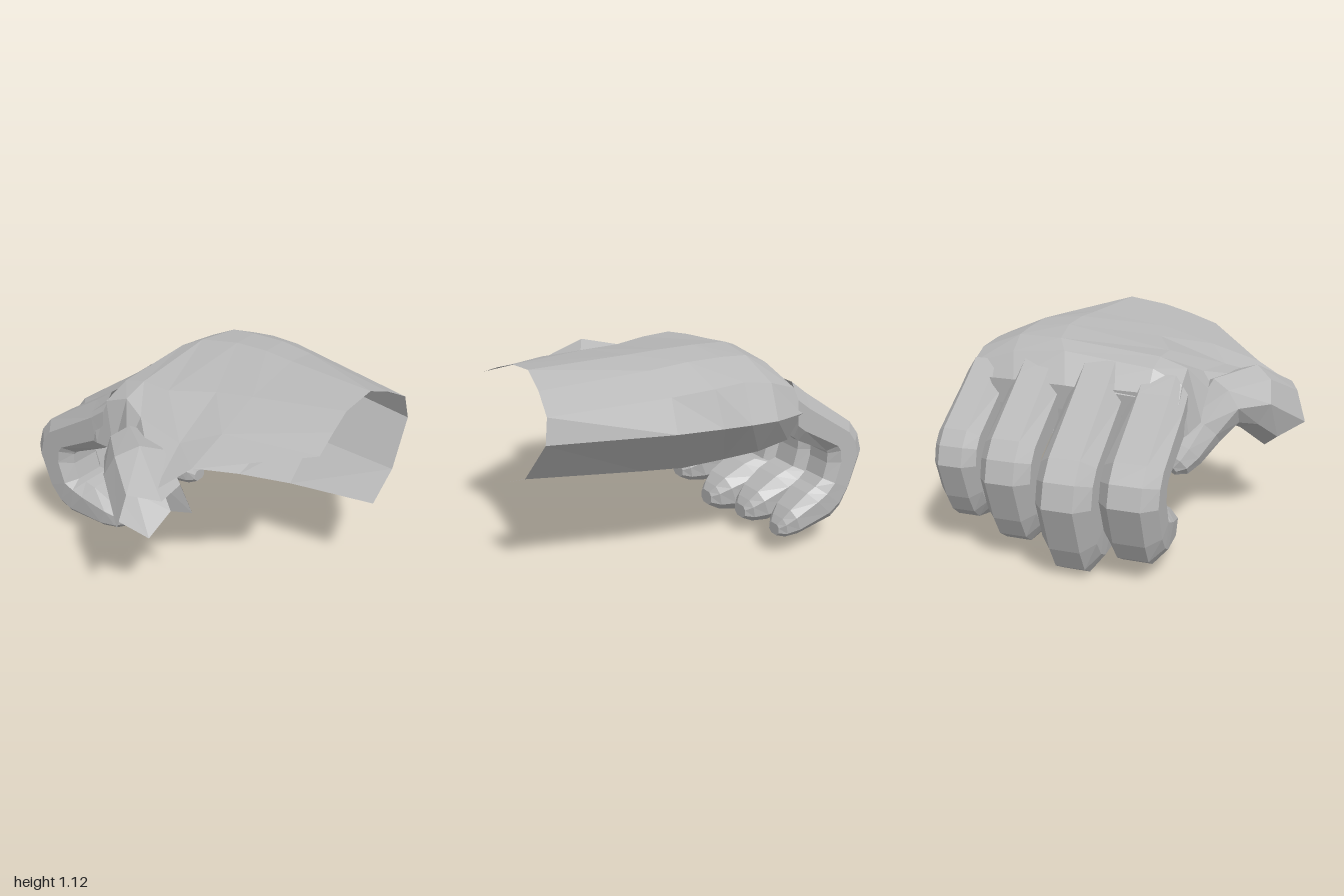
import * as THREE from 'three';

const skin = new THREE.MeshStandardMaterial({ color: 0xb8b8b8, flatShading: true, side: THREE.DoubleSide });
skin.name = 'plain grey';

// Flat-shaded surface through rows of points; rows may be closed loops, the last row may be capped
function loft(name, rows, closed, capped) {
  const pos = [];
  const tri = (a, b, c) => pos.push(...a, ...b, ...c);
  const n = rows[0].length;
  const steps = closed ? n : n - 1;
  for (let i = 0; i < rows.length - 1; i++) {
    for (let j = 0; j < steps; j++) {
      const k = (j + 1) % n;
      tri(rows[i][j], rows[i][k], rows[i + 1][k]);
      tri(rows[i][j], rows[i + 1][k], rows[i + 1][j]);
    }
  }
  if (capped) {
    const last = rows[rows.length - 1];
    const mid = [0, 1, 2].map(a => last.reduce((s, p) => s + p[a], 0) / n);
    for (let j = 0; j < n; j++) tri(last[j], last[(j + 1) % n], mid);
  }
  const geo = new THREE.BufferGeometry();
  geo.setAttribute('position', new THREE.Float32BufferAttribute(pos, 3));
  geo.computeVertexNormals();
  const mesh = new THREE.Mesh(geo, skin);
  mesh.name = name;
  return mesh;
}

// Cross-sections from the thumb side over the back, round the outer edge and under the palm
const sleeveRows = [
  [[0.91, 0.96, 0.22], [0.89, 1.02, 0.06], [0.87, 1.07, -0.1], [0.88, 1.1, -0.33], [0.9, 1.04, -0.5], [0.93, 0.96, -0.66], [0.95, 0.83, -0.68], [0.98, 0.6, -0.48], [1.0, 0.5, -0.24]],
  [[0.41, 0.89, 0.6], [0.4, 0.97, 0.33], [0.38, 1.06, 0.03], [0.36, 1.12, -0.38], [0.35, 1.09, -0.6], [0.34, 1.0, -0.79], [0.34, 0.83, -0.85], [0.4, 0.57, -0.6], [0.5, 0.47, -0.2]],
  [[0.32, 0.82, 0.78], [0.22, 0.91, 0.45], [0.18, 1.05, 0.08], [0.18, 1.13, -0.4], [0.15, 1.11, -0.62], [0.12, 1.02, -0.83], [0.1, 0.83, -0.89], [0.18, 0.56, -0.64], [0.22, 0.48, -0.1]],
];
const knuckleRows = [
  [[-0.1, 0.8, 0.5], [-0.08, 0.95, 0.4], [-0.05, 1.04, 0.2], [-0.02, 1.13, -0.4], [-0.05, 1.11, -0.62], [-0.05, 1.03, -0.83], [-0.05, 0.83, -0.91], [-0.05, 0.57, -0.66], [-0.05, 0.55, 0.15]],
  [[-0.25, 0.72, 0.44], [-0.22, 1.0, 0.35], [-0.22, 1.05, 0.2], [-0.24, 1.11, -0.36], [-0.2, 1.1, -0.62], [-0.2, 1.01, -0.85], [-0.2, 0.83, -0.92], [-0.2, 0.62, -0.76], [-0.25, 0.6, 0.25]],
  [[-0.4, 0.7, 0.41], [-0.36, 0.95, 0.36], [-0.35, 1.02, 0.2], [-0.34, 1.07, -0.3], [-0.34, 1.04, -0.6], [-0.35, 0.96, -0.84], [-0.38, 0.83, -0.88], [-0.37, 0.66, -0.78], [-0.4, 0.62, 0.25]],
  [[-0.45, 0.69, 0.39], [-0.46, 0.86, 0.37], [-0.46, 0.89, 0.2], [-0.47, 0.92, -0.25], [-0.46, 0.92, -0.55], [-0.44, 0.86, -0.83], [-0.43, 0.8, -0.87], [-0.42, 0.65, -0.78], [-0.45, 0.61, 0.25]],
];

// Finger side profile: outer x, y, inner x, y, width factor
const fingerProfile = [
  [-0.35, 1.04, -0.38, 0.65, 0.98],
  [-0.47, 0.95, -0.42, 0.62, 1],
  [-0.88, 0.68, -0.68, 0.5, 1],
  [-0.96, 0.58, -0.69, 0.48, 1],
  [-1.0, 0.45, -0.69, 0.41, 1],
  [-0.91, 0.19, -0.66, 0.3, 1],
  [-0.84, 0.06, -0.6, 0.31, 0.98],
  [-0.76, 0.01, -0.53, 0.29, 0.95],
  [-0.48, 0.005, -0.4, 0.22, 0.8],
  [-0.38, 0.02, -0.35, 0.17, 0.6],
  [-0.32, 0.05, -0.32, 0.13, 0.35],
];
// Octagonal section: position across the thickness, position across the width
const octagon = [[0, 0.55], [0, -0.55], [0.28, -1], [0.75, -1], [1, -0.6], [1, 0.6], [0.75, 1], [0.28, 1]];

// dip tilts the last finger joint downward
function finger(name, z, halfWidth, reach, top, drop, dip) {
  const rows = fingerProfile.map(([ox, oy, ix, iy, w], i) => octagon.map(([t, s]) => {
    const x = ox + (ix - ox) * t;
    const tilt = i > 5 ? dip * (x + 0.84) : 0;
    return [-0.33 + (x + 0.33) * reach, top - (1.08 - oy - (iy - oy) * t) * drop - tilt, z + s * w * halfWidth];
  }));
  return loft(name, rows, true, true);
}

// Skin between two fingers, narrowest halfway down
function web(z) {
  const rows = [[-0.46, 0.92, 0.08], [-0.45, 0.78, 0.04], [-0.43, 0.62, 0.07]]
    .map(([x, y, w]) => [[x, y, z + w], [x, y, z - w]]);
  return loft('fingerWeb', rows, false, false);
}

// Thumb: centre x, y, z and radius, from the ragged base to the tip
const thumbPath = [
  [0.26, 0.65, 0.73, 0.2],
  [0.08, 0.78, 0.62, 0.18],
  [-0.06, 0.78, 0.5, 0.15],
  [-0.17, 0.65, 0.42, 0.12],
  [-0.27, 0.54, 0.36, 0.1],
  [-0.33, 0.49, 0.33, 0.075],
  [-0.36, 0.47, 0.31, 0.035],
];

function thumb() {
  const sides = 8;
  const centres = thumbPath.map(p => new THREE.Vector3(p[0], p[1], p[2]));
  const rows = centres.map((c, i) => {
    const d = centres[Math.min(i + 1, centres.length - 1)].clone().sub(centres[Math.max(i - 1, 0)]).normalize();
    const s = d.clone().cross(new THREE.Vector3(0, 1, 0)).normalize();
    const u = s.clone().cross(d);
    return Array.from({ length: sides }, (_, j) => {
      const a = (j / sides) * Math.PI * 2;
      const p = c.clone().addScaledVector(u, Math.cos(a) * thumbPath[i][3]).addScaledVector(s, Math.sin(a) * thumbPath[i][3]);
      // Zigzag rim at the open base
      if (i === 0) p.addScaledVector(d, j % 2 ? 0.05 : -0.05);
      return p.toArray();
    });
  });
  return loft('thumb', rows, true, true);
}

export function createModel() {
  const hand = new THREE.Group();
  hand.name = 'hand';
  // Open sleeve of the hand, then the closed ring the fingers grow from
  hand.add(loft('wristAndBack', [...sleeveRows, knuckleRows[0]], false, false));
  hand.add(loft('knuckles', knuckleRows, true, false));
  hand.add(finger('indexFinger', 0.24, 0.155, 0.93, 1.03, 0.87, 0.04));
  hand.add(finger('middleFinger', -0.09, 0.15, 1, 1.08, 1, 0));
  hand.add(finger('ringFinger', -0.44, 0.14, 0.87, 1.07, 0.89, 0.1));
  hand.add(finger('littleFinger', -0.76, 0.12, 0.75, 1.02, 0.77, 0.2));
  for (const z of [0.07, -0.27, -0.61]) hand.add(web(z));
  hand.add(thumb());
  return hand;
}
